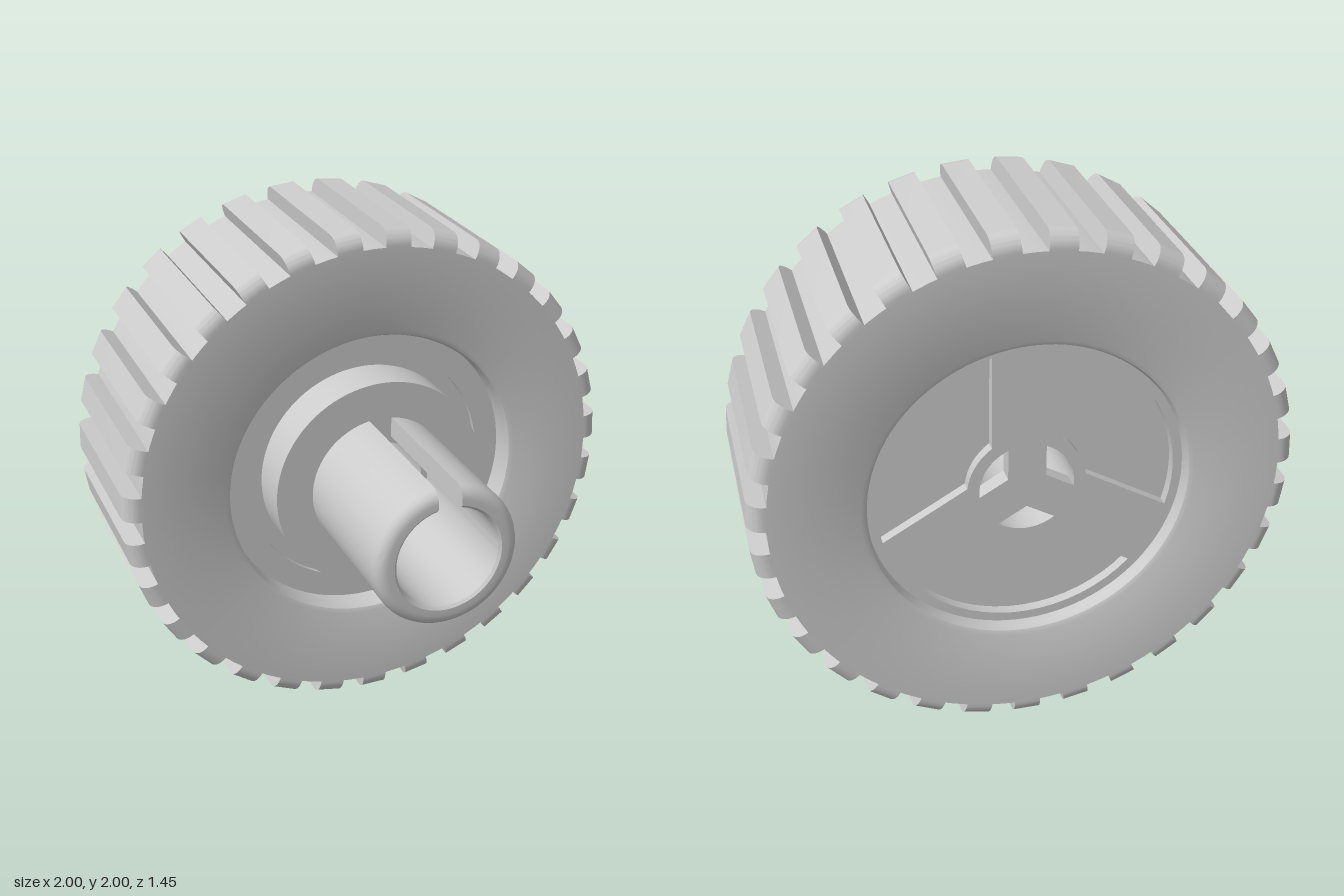
import * as THREE from 'three';
import { toCreasedNormals } from 'three/addons/utils/BufferGeometryUtils.js';

const material = new THREE.MeshStandardMaterial({ color: 0xcccccc });
const openMaterial = new THREE.MeshStandardMaterial({ color: 0xcccccc, side: THREE.DoubleSide });

const points = (list) => list.map(([r, z]) => new THREE.Vector2(r, z));

function mesh(name, geometry, mat = material) {
  const m = new THREE.Mesh(geometry, mat);
  m.name = name;
  return m;
}

// Solid of revolution around the z axis from (radius, z) pairs
function turned(name, profile) {
  const g = new THREE.LatheGeometry(points(profile), 96).rotateX(Math.PI / 2);
  return mesh(name, toCreasedNormals(g, 0.6));
}

// Outline of the space between two of the three spokes
function sector(centre, r0, r1, halfWidth) {
  const limit = (r) => Math.PI / 3 - Math.asin(Math.min(1, halfWidth / r));
  const list = [];
  const n = 16;
  for (let i = 0; i <= n; i++) {
    const a = centre + limit(r1) * (2 * i / n - 1);
    list.push([r1 * Math.cos(a), r1 * Math.sin(a)]);
  }
  const inner = limit(r0) < 0.01 ? 0 : 8;
  for (let i = 0; i <= inner; i++) {
    const a = centre + (inner ? limit(r0) * (1 - 2 * i / inner) : 0);
    list.push([r0 * Math.cos(a), r0 * Math.sin(a)]);
  }
  return new THREE.Path(points(list));
}

// Disc layer with sector-shaped holes, from z0 to z1
function plate(name, z0, z1, withPockets) {
  const shape = new THREE.Shape().absarc(0, 0, 0.588, 0, Math.PI * 2);
  for (let i = 0; i < 3; i++) {
    const centre = Math.PI / 6 + i * Math.PI * 2 / 3;
    shape.holes.push(sector(centre, 0.07 / Math.sin(Math.PI / 3), 0.175, 0.07));
    if (withPockets) shape.holes.push(sector(centre, 0.22, 0.55, 0.13));
  }
  const g = new THREE.ExtrudeGeometry(shape, { depth: z1 - z0, bevelEnabled: false, curveSegments: 48 });
  return mesh(name, toCreasedNormals(g.translate(0, 0, z0), 0.6));
}

// Tread block with rounded shoulders
function treadGeometry() {
  const back = -0.725, front = 0.045, top = 1, base = 0.93, c = 0.06;
  const s = new THREE.Shape();
  s.moveTo(back, base);
  s.lineTo(front, base);
  s.lineTo(front, top - c);
  s.absarc(front - c, top - c, c, 0, Math.PI / 2);
  s.lineTo(back + c, top);
  s.absarc(back + c, top - c, c, Math.PI / 2, Math.PI);
  s.closePath();
  const g = new THREE.ExtrudeGeometry(s, { depth: 0.1, bevelEnabled: false, curveSegments: 6 });
  g.translate(0, 0, -0.05).rotateY(-Math.PI / 2);
  return toCreasedNormals(g, 0.6);
}

// Tube with a parallel-sided slot along its top
function slottedSleeve() {
  const group = new THREE.Group();
  group.name = 'slottedSleeve';
  const half = 0.045, tip = 0.725, c = 0.045;
  const profile = [[0.28, 0.09]];
  for (let i = 0; i <= 6; i++) {
    const a = i / 6 * Math.PI / 2;
    profile.push([0.28 - c + c * Math.cos(a), tip - c + c * Math.sin(a)]);
  }
  profile.push([0.21, tip], [0.2, tip - 0.01], [0.2, 0.09]);

  const g = new THREE.LatheGeometry(points(profile), 72);
  const pos = g.attributes.position;
  for (let i = 0; i < pos.count; i++) {
    const t = Math.floor(i / profile.length) / 72;
    const r = profile[i % profile.length][0];
    const gap = Math.asin(half / r);
    const a = Math.PI + gap + t * 2 * (Math.PI - gap);
    pos.setX(i, r * Math.sin(a));
    pos.setZ(i, r * Math.cos(a));
  }
  group.add(mesh('sleeveTube', toCreasedNormals(g.rotateX(Math.PI / 2), 0.6)));

  // Walls of the slot
  const wall = new THREE.ShapeGeometry(new THREE.Shape(
    points(profile.map(([r, z]) => [Math.sqrt(r * r - half * half), z]))));
  wall.rotateZ(Math.PI / 2).rotateY(Math.PI / 2).rotateX(0);
  const p = wall.attributes.position;
  const uv = wall.attributes.uv;
  for (let i = 0; i < p.count; i++) p.setXYZ(i, 0, uv.getX(i), uv.getY(i));
  wall.computeVertexNormals();
  for (const side of [-1, 1]) {
    const m = mesh('slotWall', wall, openMaterial);
    m.position.x = side * half;
    group.add(m);
  }
  return group;
}

export function createModel() {
  const wheel = new THREE.Group();
  wheel.name = 'wheel';

  // Tyre body with softened inner rims
  wheel.add(turned('tyre', [
    [0.585, -0.66], [0.585, -0.7], [0.593, -0.717], [0.61, -0.725],
    [0.935, -0.725], [0.935, 0.045],
    [0.61, 0.045], [0.593, 0.037], [0.585, 0.02], [0.585, -0.07], [0.585, -0.66],
  ]));

  // Tread blocks, with a gap at the top and a block at the bottom
  const treads = new THREE.Group();
  treads.name = 'treads';
  const block = treadGeometry();
  const count = 31;
  for (let i = 0; i < count; i++) {
    const m = mesh('treadBlock', block);
    m.rotation.z = (i + 0.5) * Math.PI * 2 / count;
    treads.add(m);
  }
  wheel.add(treads);

  // Hub with stepped front, raised boss and bore
  wheel.add(turned('hub', [
    [0.175, -0.6], [0.588, -0.6], [0.588, -0.06], [0.485, -0.06], [0.485, -0.08],
    [0.425, -0.08], [0.425, 0.1], [0.175, 0.1], [0.175, -0.6],
  ]));
  wheel.add(slottedSleeve());

  // Back of the hub: three spokes over shallow pockets
  wheel.add(plate('pocketFloor', -0.625, -0.6, false));
  wheel.add(plate('spokes', -0.665, -0.625, true));

  wheel.position.y = 1;
  const model = new THREE.Group();
  model.name = 'treadedWheel';
  model.add(wheel);
  return model;
}
